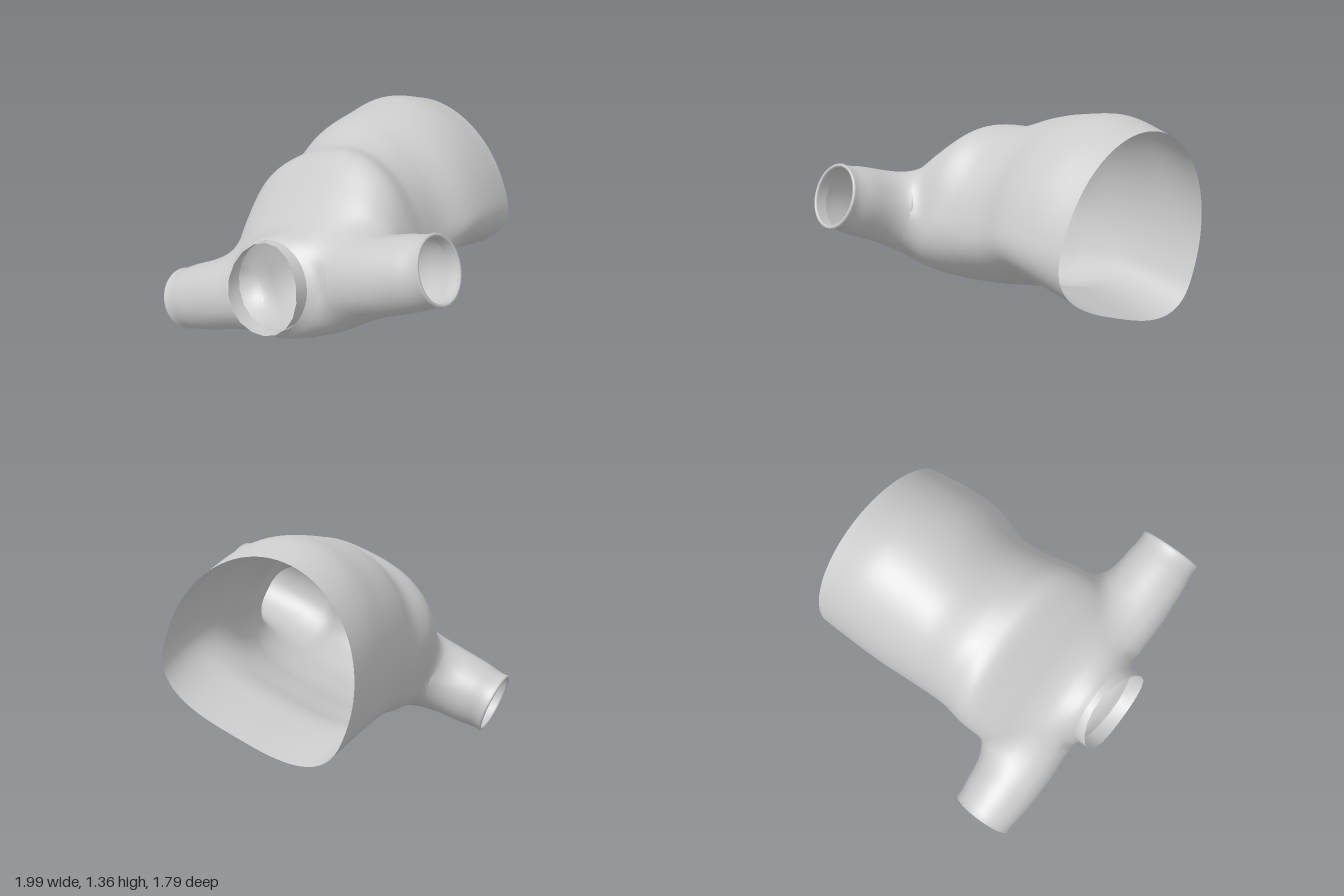
import * as THREE from 'three';

const grey = new THREE.MeshStandardMaterial({ color: 0xcccccc, side: THREE.DoubleSide });

// Smooth curve through rows of [position, ...values]
function curve(rows) {
  const size = rows[0].length - 1;
  const spline = new THREE.CubicInterpolant(rows.map((r) => r[0]),
    rows.flatMap((r) => r.slice(1)), size, new Float64Array(size));
  return (t) => spline.evaluate(t);
}

// Body sections along z, domed above and flat below the widest line:
// [z, centreX, widestY, halfWidth, heightAbove, depthBelow, squarenessAbove, squarenessBelow]
const bodySection = curve([
  [-0.9, -0.01, 0.08, 0.58, 0.69, 0.36, 2, 3],
  [-0.65, 0.005, 0.08, 0.595, 0.746, 0.309, 2, 3],
  [-0.45, 0.005, 0.08, 0.592, 0.725, 0.285, 2, 3],
  [-0.2, -0.02, 0.08, 0.55, 0.678, 0.34, 2, 3],
  [0, -0.01, 0.07, 0.555, 0.6, 0.37, 2.1, 3],
  [0.18, 0, 0.05, 0.585, 0.58, 0.387, 2.6, 3],
  [0.35, 0, 0.03, 0.59, 0.462, 0.38, 2.5, 2.9],
  [0.5, 0, 0, 0.555, 0.382, 0.345, 2.3, 2.6],
  [0.62, 0, 0.01, 0.49, 0.312, 0.32, 2.1, 2.2],
  [0.7, 0, 0.022, 0.39, 0.284, 0.292, 2, 2],
  [0.745, 0, 0.035, 0.31, 0.264, 0.266, 2, 2],
  [0.77, 0, 0.037, 0.268, 0.25, 0.25, 2, 2],
]);
// The sections lean back progressively towards the neck
const neckY = 0.037;
const lean = (z) => 0.2 * THREE.MathUtils.smoothstep(z, 0.3, 0.75);

const armY = -0.037, armZ = 0.55;
const armRadius = curve([[0.1, -0.1], [0.22, 0.05], [0.34, 0.155], [0.46, 0.2], [0.6, 0.215],
  [0.7, 0.213], [0.85, 0.203], [0.95, 0.19], [0.985, 0.193]]);

// Signed distances used to blend the sleeves into the shoulders
const armDistance = (x, y, z) =>
  Math.hypot(y - armY, z - armZ) - armRadius(Math.abs(x))[0];

function bodyField(x, y, z) {
  let s = z;
  for (let i = 0; i < 3; i++) s = z + lean(s) * (y - neckY);
  const [cx, cy, a, above, below, nAbove, nBelow] = bodySection(s);
  const [b, n] = y > cy ? [above, nAbove] : [below, nBelow];
  const q = (Math.abs((x - cx) / a) ** n + Math.abs((y - cy) / b) ** n) ** (1 / n);
  return (q - 1) * Math.min(a, b);
}

function gradient(f, [x, y, z]) {
  const e = 0.004, v = f(x, y, z);
  return new THREE.Vector3(f(x + e, y, z) - v, f(x, y + e, z) - v, f(x, y, z + e) - v).divideScalar(e);
}

const bodyDistance = (x, y, z) =>
  bodyField(x, y, z) / Math.max(1, gradient(bodyField, [x, y, z]).length());

function blended(x, y, z) {
  const k = 0.14, a = bodyDistance(x, y, z), b = armDistance(x, y, z);
  return Math.min(a, b) - Math.max(k - Math.abs(a - b), 0) ** 2 / (4 * k);
}

// Moves a point out to the blended skin
function toSkin(point) {
  const p = new THREE.Vector3(...point);
  for (let i = 0; i < 6; i++) {
    const g = gradient(blended, p.toArray());
    const step = -blended(p.x, p.y, p.z) / Math.max(g.lengthSq(), 0.5);
    p.addScaledVector(g, THREE.MathUtils.clamp(step, -0.03, 0.03));
  }
  return p.toArray();
}

// Joins rings of points; pointAt(u, angle) gives each point, null leaves a hole
function skin(rows, sides, pointAt) {
  const pos = [], index = [], kept = [];
  for (let i = 0; i <= rows; i++) {
    for (let j = 0; j < sides; j++) {
      const p = pointAt(i / rows, (j / sides) * Math.PI * 2);
      kept.push(p !== null);
      pos.push(...(p ?? [0, 0, 0]));
    }
  }
  for (let i = 0; i < rows; i++) {
    for (let j = 0; j < sides; j++) {
      const a = i * sides + j, b = i * sides + ((j + 1) % sides);
      const c = b + sides, d = a + sides;
      if ([a, b, c, d].every((v) => kept[v])) index.push(a, b, c, a, c, d);
    }
  }
  const g = new THREE.BufferGeometry();
  g.setAttribute('position', new THREE.Float32BufferAttribute(pos, 3));
  g.setIndex(index);
  g.computeVertexNormals();
  return g;
}

function addMesh(parent, name, geometry) {
  const mesh = new THREE.Mesh(geometry, grey);
  mesh.name = name;
  parent.add(mesh);
  return mesh;
}

export function createModel() {
  const model = new THREE.Group();
  model.name = 'garment';

  // The whole garment lies on its side, rolled about its long axis
  const garment = new THREE.Group();
  garment.name = 'rolledGarment';
  garment.position.set(0, 0.55, 0);
  garment.rotation.z = THREE.MathUtils.degToRad(20);
  model.add(garment);

  // Body: open hem at the back, armholes at the sides, neck hole at the front
  const power = (c, n) => Math.sign(c) * Math.abs(c) ** (2 / n);
  addMesh(garment, 'body', skin(84, 96, (u, t) => {
    const s = -0.9 + 1.67 * u;
    const [cx, cy, a, above, below, nAbove, nBelow] = bodySection(s);
    const [b, n] = t < Math.PI ? [above, nAbove] : [below, nBelow];
    const x = cx + a * power(Math.cos(t), n), y = cy + b * power(Math.sin(t), n);
    const p = [x, y, s - lean(s) * (y - neckY)];
    if (armDistance(...p) < -0.035) return null;
    return armDistance(...p) < 0.16 && u < 0.97 ? toSkin(p) : p;
  }));

  // Collar: short thin band with an uneven front edge
  addMesh(garment, 'collar', skin(1, 18, (u, t) => {
    const x = 0.268 * Math.cos(t), y = 0.25 * Math.sin(t);
    const back = 0.76 - 0.2 * y, front = 0.825 - 0.26 * y + 0.4 * x * x;
    return [x, neckY + y, THREE.MathUtils.lerp(back, front, u)];
  }));

  // Sleeves: blended roots, tapering to a cuff with a rolled rim and inner lining
  for (const [name, side] of [['left', 1], ['right', -1]]) {
    addMesh(garment, name + 'Sleeve', skin(40, 48, (u, t) => {
      const x = 0.34 + 0.645 * u, [r] = armRadius(x);
      const p = [side * x, armY + r * Math.sin(t), armZ - side * r * Math.cos(t)];
      if (bodyDistance(...p) < -0.035) return null;
      return toSkin(p);
    }));
    const cuff = new THREE.Group();
    cuff.name = name + 'Cuff';
    cuff.position.set(0, armY, armZ);
    cuff.rotation.y = side * Math.PI / 2;
    garment.add(cuff);
    addMesh(cuff, name + 'CuffRim', new THREE.TorusGeometry(0.184, 0.011, 6, 28)).position.z = 0.982;
    addMesh(cuff, name + 'CuffLining', skin(1, 20, (u, t) =>
      [0.176 * Math.cos(t), 0.176 * Math.sin(t), 0.92 + 0.065 * u]));
  }
  return model;
}
